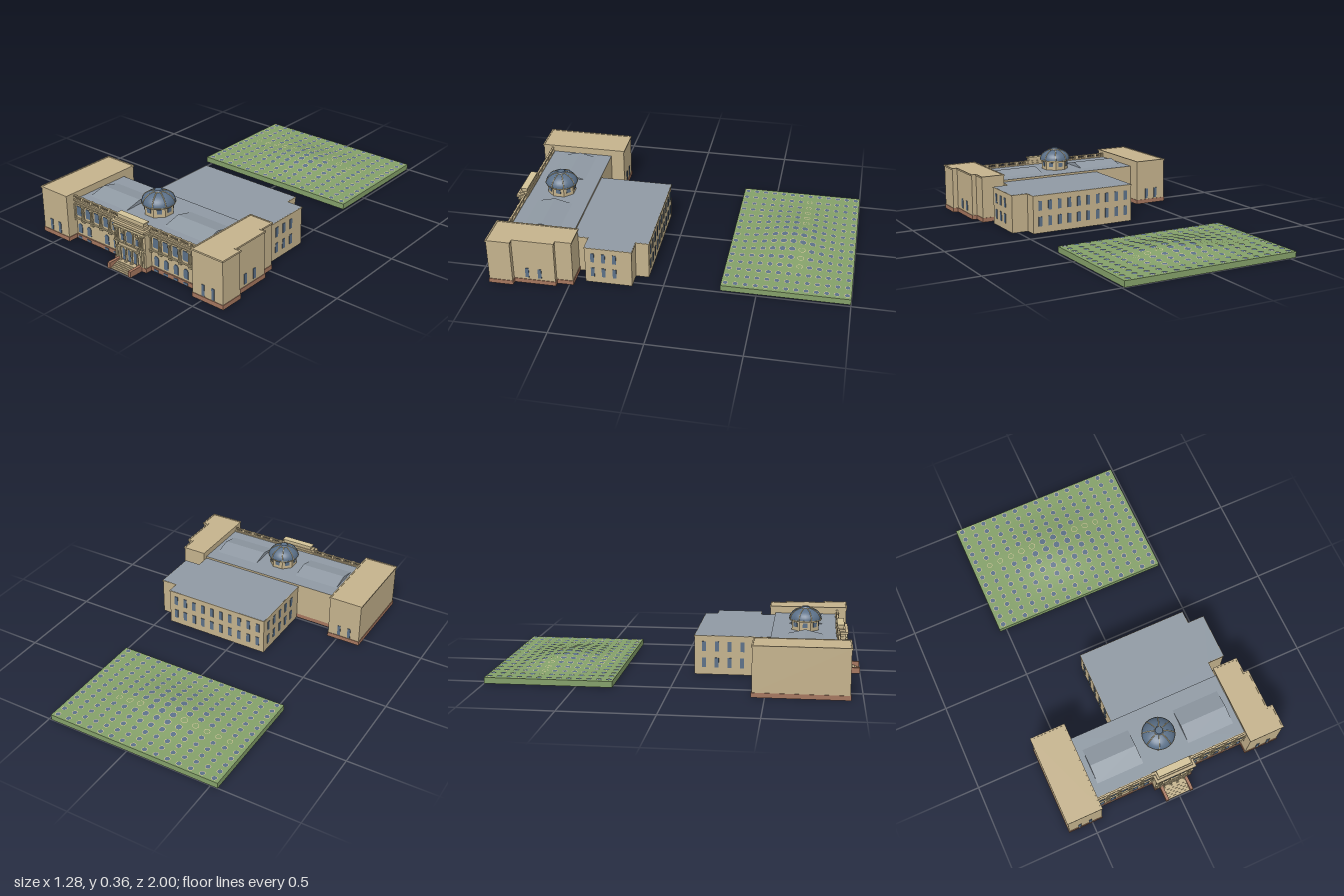
import * as THREE from 'three';

const mat = (name, color) => Object.assign(new THREE.MeshStandardMaterial({ color, side: THREE.DoubleSide }), { name });
const stone = mat('sandstone', 0xc4b28c);
const trim = mat('pale trim', 0xd2c298);
const brick = mat('brown plinth', 0xa5765e);
const slate = mat('grey roof', 0x8f99a3);
const glass = mat('blue glass', 0x5b7088);
const grass = mat('lawn green', 0x84a069);

export function createModel() {
  const model = new THREE.Group();
  const add = (name, geo, m, x = 0, y = 0, z = 0, parent = model) => {
    const mesh = new THREE.Mesh(geo, m);
    mesh.name = name;
    mesh.position.set(x, y, z);
    parent.add(mesh);
    return mesh;
  };
  // box given by its limits
  const block = (name, m, x0, x1, y0, y1, z0, z1) =>
    add(name, new THREE.BoxGeometry(x1 - x0, y1 - y0, z1 - z0), m, (x0 + x1) / 2, (y0 + y1) / 2, (z0 + z1) / 2);
  const rect = (x0, x1, z0, z1) => [[x0, z0], [x0, z1], [x1, z1], [x1, z0]];

  // open-bottomed walls around a footprint of [x, z] points
  const walls = (name, m, pts, y0, y1) => {
    const v = [];
    pts.forEach(([ax, az], i) => {
      const [bx, bz] = pts[(i + 1) % pts.length];
      v.push(ax, y0, az, bx, y0, bz, bx, y1, bz, ax, y0, az, bx, y1, bz, ax, y1, az);
    });
    const g = new THREE.BufferGeometry();
    g.setAttribute('position', new THREE.Float32BufferAttribute(v, 3));
    g.computeVertexNormals();
    add(name, g, m);
  };
  const roof = (name, m, pts, y) => {
    const shape = new THREE.Shape(pts.map(([x, z]) => new THREE.Vector2(x, -z)));
    add(name, new THREE.ShapeGeometry(shape).rotateX(-Math.PI / 2), m, 0, y, 0);
  };
  // thin moulding that follows a footprint
  const moulding = (name, m, pts, y, h, d) => pts.forEach(([ax, az], i) => {
    const [bx, bz] = pts[(i + 1) % pts.length];
    add(name, new THREE.BoxGeometry(Math.abs(bx - ax) + d, h, Math.abs(bz - az) + d), m, (ax + bx) / 2, y, (az + bz) / 2);
  });

  // windows: thin plates through the wall; side = true when the wall faces x
  const pane = (x, y, z, w, h, side = false) =>
    add('window', new THREE.BoxGeometry(side ? 0.006 : w, h, side ? w : 0.006), glass, x, y, z);
  const archPane = (x, y0, z, w, h) => {
    const s = new THREE.Shape();
    s.moveTo(-w / 2, 0).lineTo(w / 2, 0).lineTo(w / 2, h - w / 2);
    s.absarc(0, h - w / 2, w / 2, 0, Math.PI, false);
    s.closePath();
    add('archedWindow', new THREE.ExtrudeGeometry(s, { depth: 0.006, bevelEnabled: false, curveSegments: 6 }), glass, x, y0, z - 0.003);
  };
  const column = (x, y0, y1, z, r = 0.0045) => {
    add('column', new THREE.CylinderGeometry(r * 0.85, r, y1 - y0, 8), trim, x, (y0 + y1) / 2, z);
    block('capital', trim, x - r * 1.4, x + r * 1.4, y1 - 0.008, y1, z - r * 1.4, z + r * 1.4);
    block('columnBase', trim, x - r * 1.4, x + r * 1.4, y0, y0 + 0.007, z - r * 1.4, z + r * 1.4);
  };

  // end wings
  const wings = {
    rightWing: rect(-0.637, -0.442, 0.433, 0.933),
    leftWing: [[0.44, 0.48], [0.44, 0.93], [0.635, 0.93], [0.635, 0.8], [0.605, 0.8], [0.605, 0.57], [0.578, 0.57], [0.578, 0.48]],
  };
  for (const [name, pts] of Object.entries(wings)) {
    walls(name + 'Plinth', brick, pts, 0, 0.025);
    moulding(name + 'PlinthBand', brick, pts, 0.0125, 0.025, 0.006);
    walls(name + 'Walls', stone, pts, 0.025, 0.268);
    roof(name + 'Roof', stone, pts, 0.268);
    moulding(name + 'Cornice', stone, pts, 0.266, 0.009, 0.008);
  }
  for (const x of [0.51, 0.573]) {
    pane(-x, 0.062, 0.933, 0.018, 0.063);
    pane(x, 0.062, 0.93, 0.018, 0.063);
    pane(-x, 0.062, 0.433, 0.018, 0.063);
  }
  for (const z of [0.655, 0.725]) pane(0.605, 0.067, z, 0.02, 0.058, true);

  // main hall
  const F = 0.872;
  const hall = rect(-0.44, 0.44, 0.51, F);
  walls('hallPlinth', brick, hall, 0, 0.025);
  walls('hallWalls', stone, hall, 0.025, 0.23);
  roof('hallRoof', slate, hall, 0.23);
  block('plinthBand', brick, -0.44, 0.44, 0, 0.025, F, F + 0.006);
  block('sillCourse', trim, -0.44, 0.44, 0.117, 0.124, F, F + 0.007);
  block('frieze', stone, -0.44, 0.44, 0.207, 0.213, F, F + 0.009);
  block('cornice', stone, -0.44, 0.44, 0.228, 0.237, F - 0.008, F + 0.014);

  // pitched roof lights
  for (const s of [-1, 1]) {
    const tri = new THREE.Shape().moveTo(-0.1, 0).lineTo(0.1, 0).lineTo(0, 0.024).closePath();
    const g = new THREE.ExtrudeGeometry(tri, { depth: 0.27, bevelEnabled: false }).translate(0, 0, -0.135).rotateY(Math.PI / 2);
    add('pitchedRoof', g, slate, s * 0.27, 0.23, 0.695);
  }

  // facade bays on both sides of the entrance
  for (const s of [-1, 1]) {
    for (let i = 0; i < 5; i++) {
      const x = s * 0.146 + s * i * 0.067;
      pane(x, 0.166, F, 0.036, 0.054);
      if (s > 0 || i !== 2) {
        archPane(x, 0.037, F, 0.029, 0.055);
        pane(x, 0.01, F + 0.005, 0.029, 0.014);
      }
    }
    for (let i = 0; i < 6; i++) {
      const x = s * (0.1125 + i * 0.067);
      for (const d of i === 5 ? [-0.006] : [-0.006, 0.006]) {
        column(x + s * d, 0.124, 0.207, F + 0.009);
      }
      block('corbel', trim, x - 0.01, x + 0.01, 0.11, 0.118, F, F + 0.012);
      block('parapetPost', stone, x - 0.008, x + 0.008, 0.237, 0.256, F - 0.004, F + 0.01);
    }
    const a = s * 0.11, b = s * 0.44;
    block('parapetRail', stone, Math.min(a, b), Math.max(a, b), 0.25, 0.255, F - 0.002, F + 0.008);
    for (let i = 0; i < 34; i++) {
      add('baluster', new THREE.CylinderGeometry(0.0025, 0.003, 0.014, 6), stone, s * (0.117 + i * 0.0095), 0.243, F + 0.003);
    }
  }

  // entrance pavilion
  const P = 0.913;
  block('pavilionPlinth', brick, -0.113, 0.113, 0, 0.025, F, P + 0.004);
  block('pavilionBody', stone, -0.11, 0.11, 0.025, 0.228, F, P);
  block('pavilionFrieze', trim, -0.113, 0.113, 0.207, 0.213, F, P + 0.012);
  block('pavilionCornice', stone, -0.118, 0.118, 0.228, 0.24, F - 0.01, P + 0.016);
  block('attic', stone, -0.105, 0.105, 0.24, 0.252, F - 0.005, P);
  block('upperAttic', stone, -0.092, 0.092, 0.252, 0.27, F, P - 0.01);
  block('atticCap', trim, -0.097, 0.097, 0.268, 0.275, F - 0.004, P - 0.006);
  block('balcony', trim, -0.068, 0.068, 0.108, 0.114, P, P + 0.022);
  block('balconyParapet', stone, -0.066, 0.066, 0.114, 0.13, P + 0.012, P + 0.018);
  archPane(0, 0.135, P, 0.042, 0.068);
  for (const x of [-0.04, 0, 0.04]) pane(x, 0.064, P, 0.028, 0.084);
  for (const x of [-0.061, -0.02, 0.02, 0.061]) column(x, 0.024, 0.108, P + 0.012, 0.005);
  for (const s of [-1, 1]) {
    for (const x of [0.078, 0.094, 0.03]) column(s * x, 0.13, 0.207, P + 0.007);
    for (const x of [0.078, 0.094]) block('pilaster', trim, s * x - 0.005, s * x + 0.005, 0.025, 0.117, P, P + 0.006);
    add('roundOrnament', new THREE.TorusGeometry(0.01, 0.0025, 6, 16), trim, s * 0.052, 0.19, P + 0.002);
    pane(s * 0.052, 0.154, P, 0.018, 0.036);
  }
  block('pavilionCourse', trim, -0.113, 0.113, 0.117, 0.124, P, P + 0.008);

  // entrance steps between cheek walls
  for (let i = 0; i < 6; i++) block('step', stone, -0.066, 0.066, 0, 0.024 - i * 0.004, P, 0.945 + i * 0.01);
  for (const s of [-1, 1]) {
    block('stairCheek', brick, s * 0.0735 - 0.0085, s * 0.0735 + 0.0085, 0, 0.033, P, 1);
  }

  // dome on an eight-sided drum
  const dome = new THREE.Group();
  dome.name = 'dome';
  dome.position.set(0, 0, 0.692);
  model.add(dome);
  const drum = new THREE.CylinderGeometry(0.08, 0.08, 0.055, 8, 1).rotateY(Math.PI / 8).toNonIndexed();
  drum.computeVertexNormals();
  add('drum', drum, stone, 0, 0.2575, 0, dome);
  add('drumCornice', new THREE.CylinderGeometry(0.092, 0.088, 0.008, 32), trim, 0, 0.286, 0, dome);
  const R = 0.09, H = 0.062;
  const arc = (k, r = R, h = H) => new THREE.Vector2(r * Math.cos(k), h * Math.sin(k));
  const angles = Array.from({ length: 11 }, (_, i) => (i / 10) * 1.33);
  add('domeShell', new THREE.LatheGeometry(angles.map(k => arc(k)), 32), glass, 0, 0.289, 0, dome);
  for (let i = 0; i < 8; i++) {
    const t = (i + 0.5) * Math.PI / 4;
    const path = new THREE.CatmullRomCurve3(angles.map(k => {
      const p = arc(k);
      return new THREE.Vector3(p.x * Math.cos(t), p.y, p.x * Math.sin(t));
    }));
    add('domeRib', new THREE.TubeGeometry(path, 14, 0.0028, 5), trim, 0, 0.289, 0, dome);
    const w = add('drumWindow', new THREE.BoxGeometry(0.026, 0.024, 0.006), glass, 0, 0.262, 0, dome);
    w.rotation.y = i * Math.PI / 4;
    w.position.x = Math.sin(w.rotation.y) * 0.074;
    w.position.z = Math.cos(w.rotation.y) * 0.074;
  }
  add('lanternRing', new THREE.CylinderGeometry(0.025, 0.026, 0.004, 16), trim, 0, 0.349, 0, dome);
  add('lanternCap', new THREE.CylinderGeometry(0.02, 0.024, 0.007, 16), glass, 0, 0.3545, 0, dome);

  // rear block with its side projection
  const rear = [[-0.195, 0.51], [0.437, 0.51], [0.437, 0.422], [0.533, 0.422], [0.533, 0.165], [0.437, 0.165], [0.437, 0.092], [-0.195, 0.092]];
  walls('rearWalls', stone, rear, 0, 0.218);
  roof('rearRoof', slate, rear, 0.2185);
  moulding('rearCornice', stone, rear.slice(1), 0.214, 0.007, 0.006);
  for (const y of [0.067, 0.158]) {
    for (let i = 0; i < 10; i++) pane(-0.155 + i * 0.061, y, 0.092, 0.022, 0.055);
    for (let i = 0; i < 5; i++) pane(-0.195, y, 0.145 + i * 0.07, 0.022, 0.055, true);
    for (const z of [0.26, 0.32, 0.38]) pane(0.533, y, z, 0.02, 0.055, true);
  }

  // separate lawn slab with a low hill
  const lx0 = -0.54, lx1 = 0.486, lz0 = -1, lz1 = -0.305, top = 0.033;
  const bump = t => (Math.abs(t) < 1 ? 0.5 + 0.5 * Math.cos(Math.PI * t) : 0);
  const height = (x, z) => top + 0.037 * bump((x + 0.027) / 0.42) * bump((z + 0.65) / 0.29);
  walls('lawnEdge', grass, rect(lx0, lx1, lz0, lz1), 0, top);
  const lawn = new THREE.PlaneGeometry(lx1 - lx0, lz1 - lz0, 48, 36).rotateX(-Math.PI / 2).translate((lx0 + lx1) / 2, 0, (lz0 + lz1) / 2);
  const p = lawn.attributes.position;
  for (let i = 0; i < p.count; i++) p.setY(i, height(p.getX(i), p.getZ(i)));
  lawn.computeVertexNormals();
  add('lawn', lawn, grass);

  // round roof lights laid over the lawn in a grid
  const up = new THREE.Vector3(0, 1, 0), e = 0.004;
  for (let i = 0; i < 15; i++) for (let j = 0; j < 13; j++) {
    const x = -0.508 + i * 0.0688, z = -0.977 + j * 0.0541, y = height(x, z);
    const r = 0.0135 + (y - top) * 0.14;
    const n = new THREE.Vector3(height(x - e, z) - height(x + e, z), 2 * e, height(x, z - e) - height(x, z + e)).normalize();
    const light = new THREE.Group();
    light.name = 'roofLight';
    light.position.set(x, y, z);
    light.quaternion.setFromUnitVectors(up, n);
    model.add(light);
    add('roofLightRim', new THREE.RingGeometry(r, r + 0.0028, 14).rotateX(-Math.PI / 2), trim, 0, 0.0022, 0, light);
    const sunken = j === 5 && i > 0 && i < 12 && Math.abs(i - 7) > 1;
    if (!sunken) add('roofLightGlass', new THREE.CircleGeometry(r, 14).rotateX(-Math.PI / 2), glass, 0, 0.002, 0, light);
  }
  return model;
}
